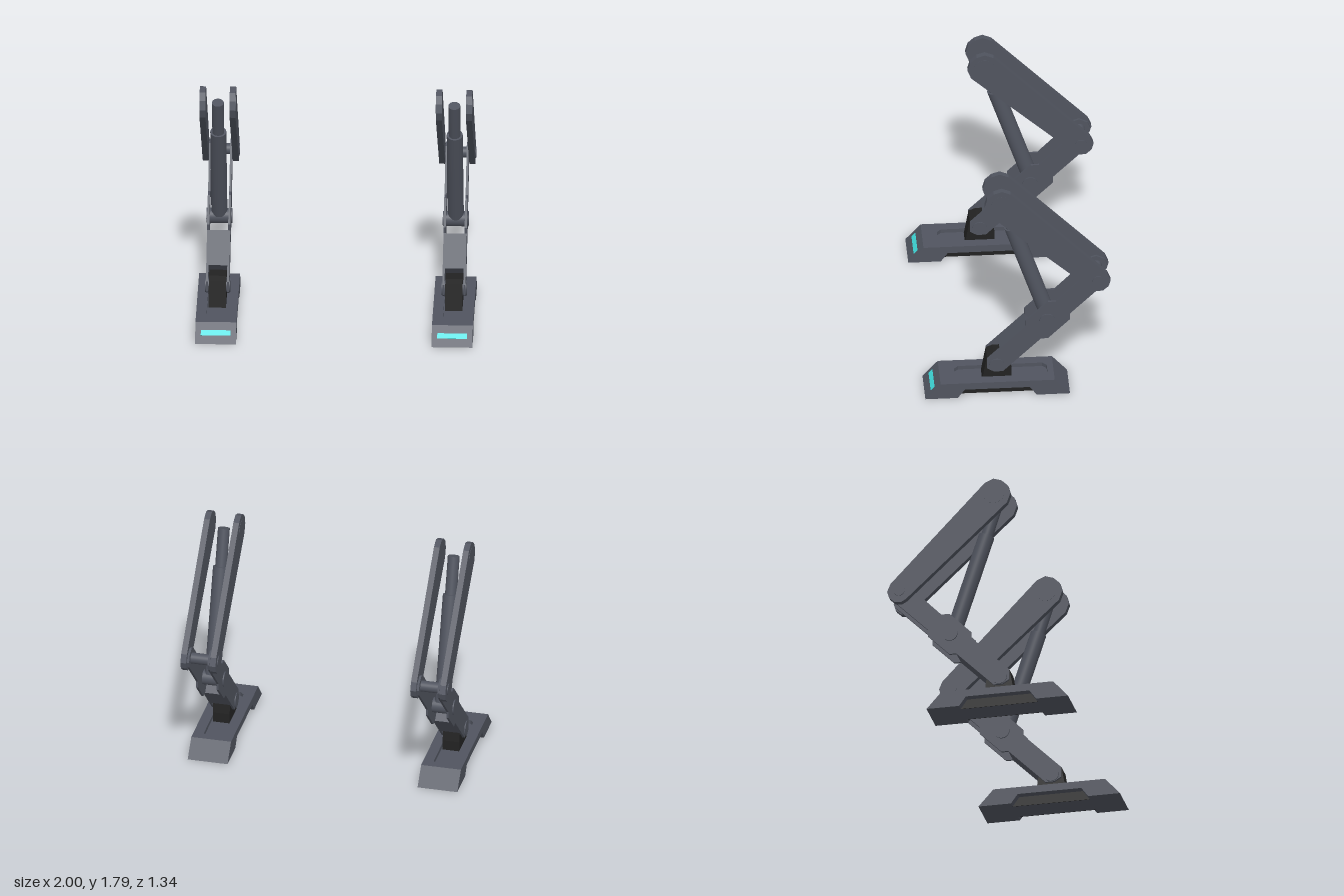
import * as THREE from 'three';

const material = (name, color) => {
  const m = new THREE.MeshStandardMaterial({ color });
  m.name = name;
  return m;
};

// Extrudes a side outline of [z, y] points along x, centred on x = 0
function sidePlate(points, width) {
  const shape = new THREE.Shape(points.map(([z, y]) => new THREE.Vector2(z, y)));
  const g = new THREE.ExtrudeGeometry(shape, { depth: width, bevelEnabled: false });
  g.translate(0, 0, -width / 2);
  g.rotateY(-Math.PI / 2);
  return g;
}

export function createModel() {
  const steel = material('steel grey', 0x50545f);
  const black = material('joint black', 0x222222);
  const glow = material('cyan light', 0x40dede);

  function buildLeg(x) {
    const leg = new THREE.Group();
    leg.position.x = x;
    const add = (name, geometry, mat, px = 0, py = 0, pz = 0) => {
      const mesh = new THREE.Mesh(geometry, mat);
      mesh.name = name;
      mesh.position.set(px, py, pz);
      leg.add(mesh);
      return mesh;
    };
    // Round pin lying along x
    const pin = (name, r, length, y, z, px = 0) => {
      const g = new THREE.CylinderGeometry(r, r, length, 32);
      g.rotateZ(Math.PI / 2);
      return add(name, g, steel, px, y, z);
    };
    // Round bar between two [z, y] points
    const bar = (name, r, [z0, y0], [z1, y1]) => {
      const g = new THREE.CylinderGeometry(r, r, Math.hypot(z1 - z0, y1 - y0), 32);
      const mesh = add(name, g, steel, 0, (y0 + y1) / 2, (z0 + z1) / 2);
      mesh.rotation.x = Math.atan2(z1 - z0, y1 - y0);
    };

    // Foot: a pocketed core, solid ribs and arched outer sides
    const toe = [[0.67, 0], [0.56, 0.125]];
    const heel = [[-0.265, 0.125], [-0.375, 0]];
    const pocket = [[0.45, 0.125], [0.45, 0.095], [-0.22, 0.095], [-0.22, 0.125]];
    const arch = [[-0.135, 0], [-0.085, 0.07], [0.385, 0.07], [0.435, 0]];
    add('footCore', sidePlate([...toe, ...pocket, ...heel], 0.145), steel);
    const rib = sidePlate([...toe, ...heel], 0.0165);
    const outer = sidePlate([...toe, ...heel, ...arch], 0.0585);
    const archPanel = sidePlate(arch, 0.004);
    for (const s of [-1, 1]) {
      add('footRib', rib, steel, s * 0.08075);
      add('footSide', outer, steel, s * 0.11825);
      add('footArchPanel', archPanel, black, s * 0.091);
      // Chamfered corners of the pocket
      for (const [z, dir] of [[0.45, -1], [-0.22, 1]]) {
        const corner = [[s * 0.0725, -z], [s * 0.0425, -z], [s * 0.0725, -(z + dir * 0.03)]];
        const g = new THREE.ExtrudeGeometry(
          new THREE.Shape(corner.map(([a, b]) => new THREE.Vector2(a, b))),
          { depth: 0.03, bevelEnabled: false });
        g.rotateX(-Math.PI / 2);
        add('pocketCorner', g, steel, 0, 0.095, 0);
      }
    }

    // Light strip on the toe slope
    const strip = add('toeLight', new THREE.BoxGeometry(0.215, 0.04, 0.006), glow, 0, 0.064, 0.6137);
    strip.rotation.x = -Math.atan2(0.11, 0.125);

    // Ankle block
    add('ankleBlock', sidePlate([
      [0.255, 0.09], [0.22, 0.29], [0.17, 0.31], [0.06, 0.31], [0.04, 0.17], [0.04, 0.09],
    ], 0.125), black);

    // Shin: solid lower box between two long side plates
    add('shinBox', sidePlate([[-0.06, 0.565], [0.13, 0.375], [0.02, 0.26], [-0.17, 0.45]], 0.14), steel);
    const shinPlate = sidePlate([
      [0.22, 0.285], [0.22, 0.205], [0.17, 0.175], [0.105, 0.175],
      [-0.17, 0.45], [-0.22, 0.45], [-0.38, 0.61], [-0.38, 0.66],
      [-0.645, 0.925], [-0.66, 0.97], [-0.64, 1.02], [-0.58, 1.05], [-0.535, 1.035],
      [-0.28, 0.77], [-0.22, 0.77], [-0.06, 0.61], [-0.06, 0.565],
    ], 0.016);

    // Thigh: two heavy plates with rounded ends
    const thighPlate = sidePlate([
      [0.24, 1.66], [0.222, 1.725], [0.175, 1.77], [0.115, 1.79], [0.052, 1.763],
      [-0.645, 1.03], [-0.67, 0.97], [-0.655, 0.92], [-0.615, 0.883], [-0.565, 0.88],
      [-0.53, 0.9], [0.215, 1.592],
    ], 0.043);
    for (const s of [-1, 1]) {
      add('shinPlate', shinPlate, steel, s * 0.076);
      add('thighPlate', thighPlate, steel, s * 0.1085);
      pin('hipCap', 0.075, 0.006, 1.67, 0.12, s * 0.129);
    }

    // Joints
    pin('kneePin', 0.04, 0.272, 0.97, -0.58);
    pin('pistonPin', 0.055, 0.186, 0.61, -0.215);
    pin('anklePin', 0.055, 0.182, 0.232, 0.15);

    // Piston from shin to hip
    bar('pistonSleeve', 0.058, [-0.213, 0.64], [0.035, 1.395]);
    bar('pistonRod', 0.043, [0.035, 1.39], [0.122, 1.667]);
    return leg;
  }

  const model = new THREE.Group();
  model.name = 'mechanicalLegs';
  for (const [name, x] of [['rightLeg', -0.8525], ['leftLeg', 0.8525]]) {
    const leg = buildLeg(x);
    leg.name = name;
    model.add(leg);
  }
  // Centre front to back
  for (const leg of model.children) leg.position.z = 0;
  return model;
}
